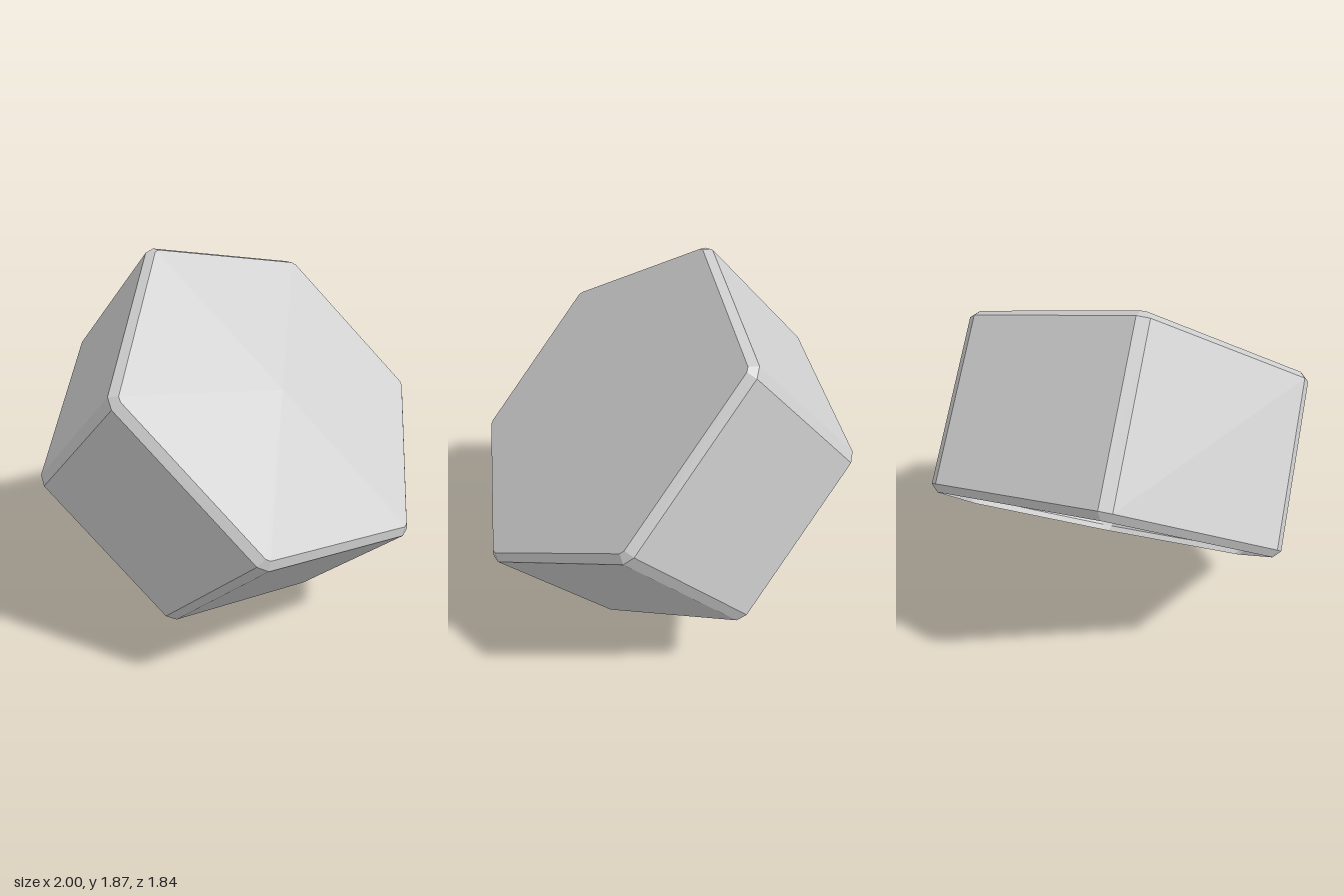
import * as THREE from 'three';

const RADIUS = 0.955, HALF = 0.444, BEVEL = 0.035;

// Hexagon with each corner cut off by c, at height y (12 points)
function ring(radius, y, c) {
  const dir = (k) => new THREE.Vector3(Math.cos(k * Math.PI / 3), 0, -Math.sin(k * Math.PI / 3));
  const points = [];
  for (let k = 0; k < 6; k++) {
    for (const side of [-2, 2]) {
      const p = dir(k).multiplyScalar(radius).addScaledVector(dir(k + side), c);
      p.y = y;
      points.push(p);
    }
  }
  return points;
}

// Geometry from a list of triangles
function fromTriangles(points) {
  const geometry = new THREE.BufferGeometry().setFromPoints(points);
  geometry.computeVertexNormals();
  return geometry;
}

// Band between a lower and an upper ring, facing outward
function band(lower, upper) {
  const t = [];
  lower.forEach((a, i) => {
    const j = (i + 1) % lower.length;
    t.push(a, lower[j], upper[j], a, upper[j], upper[i]);
  });
  return fromTriangles(t);
}

// Flat lid over a ring
function lid(points) {
  const centre = new THREE.Vector3(0, points[0].y, 0);
  return fromTriangles(points.flatMap((p, i) => [centre, p, points[(i + 1) % points.length]]));
}

export function createModel() {
  const model = new THREE.Group();
  model.name = 'hexagonalCup';
  const grey = new THREE.MeshStandardMaterial({ color: 0xcccccc, flatShading: true, side: THREE.DoubleSide });
  grey.name = 'light grey';

  const inner = RADIUS - BEVEL * 1.155;
  const rimEdge = ring(inner, -HALF, 0.015);
  const wallBottom = ring(RADIUS, -HALF + BEVEL, BEVEL);
  const wallTop = ring(RADIUS, HALF - BEVEL, BEVEL);
  const capEdge = ring(inner, HALF, 0.015);

  // Thin bevelled shell: closed at the cap, open at the rim
  const cup = new THREE.Group();
  cup.name = 'cup';
  const parts = {
    cap: lid(capEdge),
    capBevel: band(wallTop, capEdge),
    walls: band(wallBottom, wallTop),
    openRim: band(rimEdge, wallBottom),
  };
  for (const [name, geometry] of Object.entries(parts)) {
    const mesh = new THREE.Mesh(geometry, grey);
    mesh.name = name;
    cup.add(mesh);
  }

  // Tilt the cup so the cap faces up and forward
  const axis = new THREE.Vector3(0.203, 0.718, 0.665).normalize();
  const corner = new THREE.Vector3(0.975, -0.211, -0.069);
  corner.addScaledVector(axis, -corner.dot(axis)).normalize();
  const third = new THREE.Vector3().crossVectors(corner, axis);
  cup.quaternion.setFromRotationMatrix(new THREE.Matrix4().makeBasis(corner, axis, third));
  cup.position.y = 0.935;
  model.add(cup);
  return model;
}
